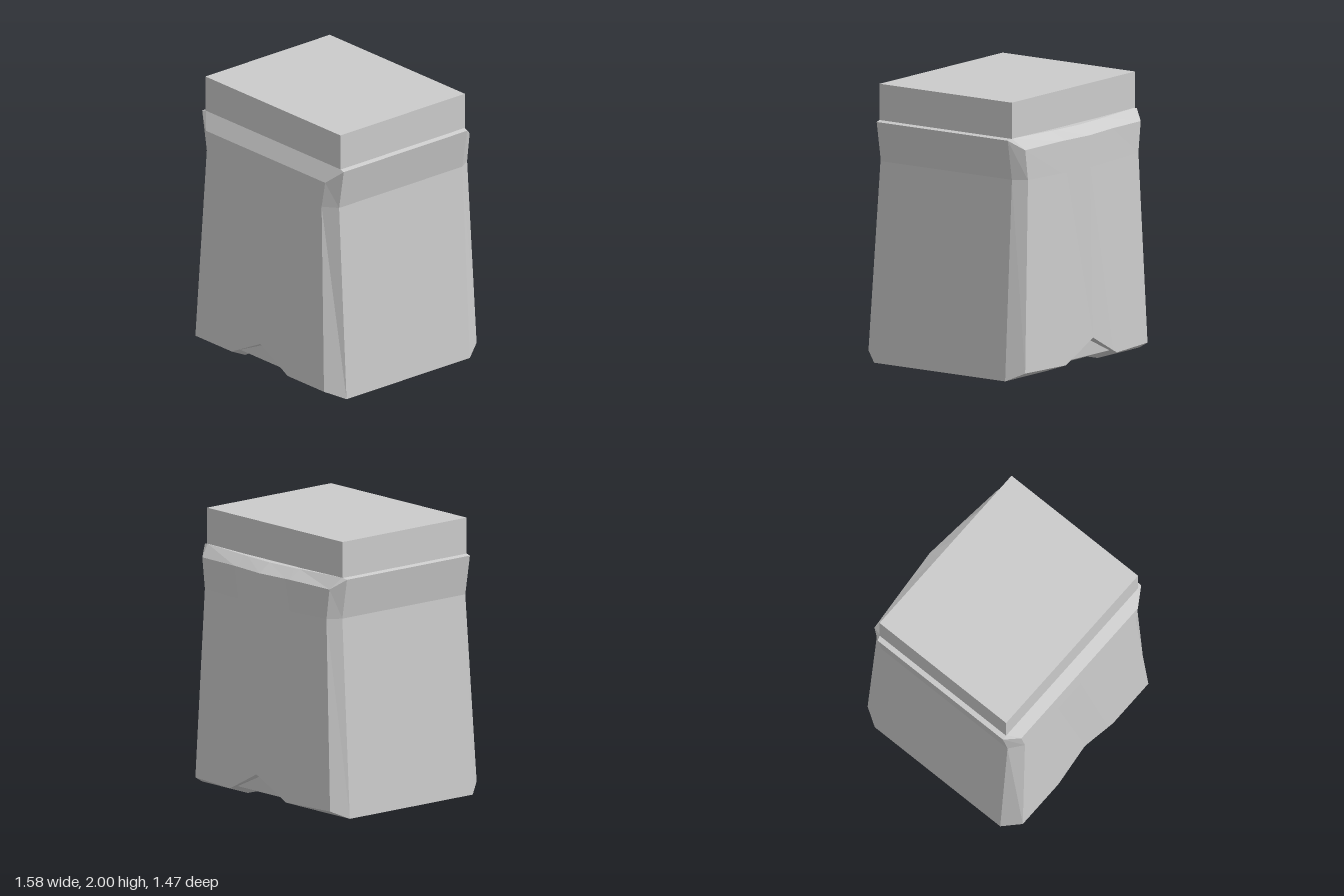
import * as THREE from 'three';

// Rows run from the underside to the top. Each row lists half a face:
// side edge, corner, groove edge, groove wall, middle.
const frontRows = [
  [[.79, 0, .61], [.69, 0, .61], [.3, 0, .61], [.26, .03, .61], [0, .03, .61]],
  [[.79, 0, .61], [.69, .06, .735], [.3, .06, .735], [.25, .08, .7], [0, .08, .7]],
  [[.79, 0, .61], [.69, .06, .735], [.3, .06, .735], [.25, .08, .7], [0, .195, .7]],
  [[.79, 0, .61], [.69, .06, .735], [.3, .06, .735], [.25, .085, .734], [0, .21, .728]],
  [[.71, 1.44, .61], [.61, 1.44, .687], [.3, 1.44, .687], [.25, 1.44, .687], [0, 1.44, .687]],
  [[.76, 1.73, .61], [.64, 1.63, .68], [.3, 1.63, .68], [.25, 1.63, .68], [0, 1.63, .68]],
  [[.72, 1.74, .61], [.72, 1.74, .61], [.3, 1.74, .61], [.25, 1.74, .61], [0, 1.74, .61]],
];
const backRows = [
  [[.79, 0, -.55], [.69, 0, -.55], [.3, 0, -.55], [.26, .03, -.55], [0, .03, -.55]],
  [[.79, 0, -.55], [.72, .06, -.675], [.3, .06, -.72], [.25, .08, -.69], [0, .08, -.69]],
  [[.79, 0, -.55], [.72, .06, -.675], [.3, .06, -.72], [.25, .08, -.69], [0, .195, -.7]],
  [[.79, 0, -.55], [.72, .06, -.675], [.3, .06, -.72], [.25, .085, -.722], [0, .215, -.735]],
  [[.71, 1.44, -.55], [.65, 1.44, -.647], [.3, 1.44, -.682], [.25, 1.44, -.687], [0, 1.44, -.709]],
  [[.76, 1.73, -.55], [.68, 1.66, -.645], [.3, 1.67, -.679], [.25, 1.67, -.683], [0, 1.67, -.705]],
  [[.72, 1.74, -.56], [.72, 1.74, -.56], [.3, 1.735, -.59], [.25, 1.735, -.595], [0, 1.735, -.61]],
];

// Full row from +x to -x
const mirrorRow = (half) => [
  ...half,
  ...half.slice(0, -1).reverse().map(([x, y, z]) => [-x, y, z]),
];

function bodyGeometry() {
  const rings = frontRows.map((row, i) => [
    ...mirrorRow(row),
    ...mirrorRow(backRows[i]).reverse(),
  ]);
  const positions = [];
  const tri = (...corners) => {
    const [a, b, c] = corners.map((p) => new THREE.Vector3(...p));
    if (b.sub(a).cross(c.sub(a)).length() > 1e-6) positions.push(...corners.flat());
  };
  const quad = (a, b, c, d) => { tri(a, b, c); tri(a, c, d); };

  // Walls
  const n = rings[0].length;
  for (let r = 0; r + 1 < rings.length; r++) {
    for (let i = 0; i < n; i++) {
      const j = (i + 1) % n;
      quad(rings[r][i], rings[r + 1][i], rings[r + 1][j], rings[r][j]);
    }
  }
  // Grooved underside and top, as strips from front to back
  const bottom = rings[0], top = rings[rings.length - 1];
  for (let i = 0; i < n / 2 - 1; i++) {
    const k = n - 1 - i;
    quad(bottom[i], bottom[i + 1], bottom[k - 1], bottom[k]);
    quad(top[i], top[k], top[k - 1], top[i + 1]);
  }
  const geometry = new THREE.BufferGeometry();
  geometry.setAttribute('position', new THREE.Float32BufferAttribute(positions, 3));
  geometry.computeVertexNormals();
  return geometry;
}

export function createModel() {
  const group = new THREE.Group();
  group.name = 'torso';
  const material = new THREE.MeshStandardMaterial({ color: 0xcccccc, flatShading: true });

  // Tapered body with flared shoulders
  const body = new THREE.Mesh(bodyGeometry(), material);
  body.name = 'body';
  group.add(body);

  // Block on top
  const block = new THREE.Mesh(new THREE.BoxGeometry(1.45, .27, 1.17), material);
  block.name = 'topBlock';
  block.position.set(0, 1.865, .025);
  group.add(block);

  return group;
}
